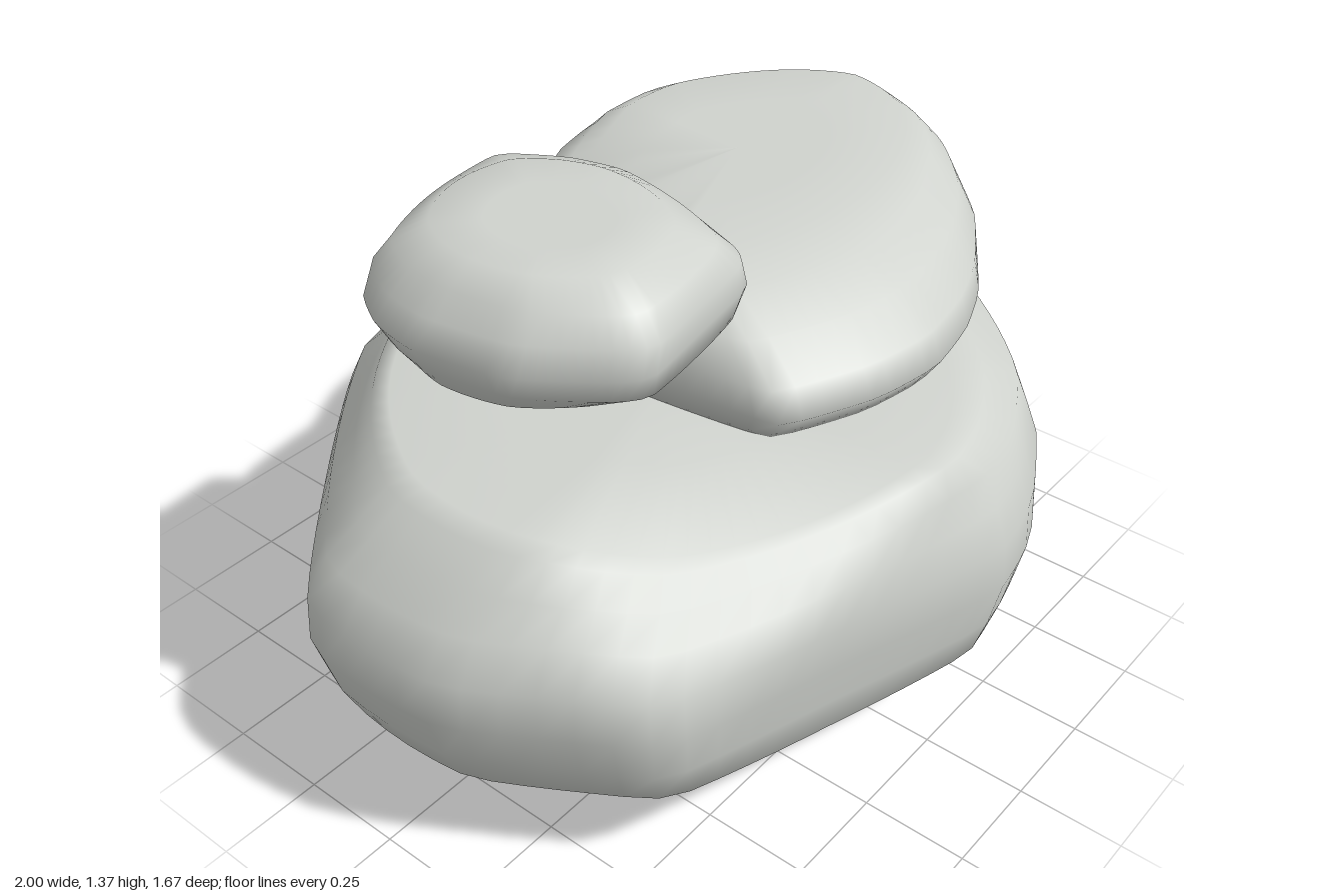
import * as THREE from 'three';

const stone = new THREE.MeshStandardMaterial({ color: 0xd0d3ce });
stone.name = 'grey stone';

const SEGMENTS = 72;

// Plan outline as evenly spaced points, normalised to a -1..1 box
function planOutline(points) {
  const curve = new THREE.CatmullRomCurve3(
    points.map(([x, z]) => new THREE.Vector3(x, 0, z)), true, 'catmullrom', 0.2);
  const ring = curve.getSpacedPoints(SEGMENTS).slice(0, SEGMENTS);
  const box = new THREE.Box3().setFromPoints(ring);
  const c = box.getCenter(new THREE.Vector3());
  const s = box.getSize(new THREE.Vector3()).multiplyScalar(0.5);
  return ring.map((p) => [(p.x - c.x) / s.x, (p.z - c.z) / s.z]);
}

// Level: [y, xMin, xMax, zMin, zMax]; shrink one towards its middle
function shrink([y, x0, x1, z0, z1], f, dy = 0) {
  const cx = (x0 + x1) / 2, cz = (z0 + z1) / 2;
  return [y + dy, cx + (x0 - cx) * f, cx + (x1 - cx) * f, cz + (z0 - cz) * f, cz + (z1 - cz) * f];
}

// Stack the outline through the levels, rounder towards both ends,
// close the ends and flatten against planes
function boulder(name, outline, levels, cuts = []) {
  const plan = planOutline(outline);
  const first = levels[0], last = levels[levels.length - 1];
  const rings = [
    shrink(first, 0, -0.02), shrink(first, 0.55, -0.015),
    ...levels,
    shrink(last, 0.55), shrink(last, 0),
  ];
  const positions = [], index = [];
  const p = new THREE.Vector3();
  rings.forEach(([y, x0, x1, z0, z1], r) => {
    const t = (2 * (y - first[0])) / (last[0] - first[0]) - 1;
    const round = 0.7 * Math.min(1, t * t);
    plan.forEach(([u, v], i) => {
      const k = 1 + round * (1 / Math.hypot(u, v) - 1);
      p.set((x0 + x1 + u * k * (x1 - x0)) / 2, y, (z0 + z1 + v * k * (z1 - z0)) / 2);
      for (const [nx, ny, nz, d] of cuts) {
        const n = new THREE.Vector3(nx, ny, nz).normalize();
        const over = n.dot(p) - d;
        if (over > 0) p.addScaledVector(n, -over);
      }
      positions.push(p.x, p.y, p.z);
      if (r === rings.length - 1) return;
      const j = (i + 1) % SEGMENTS;
      const a = r * SEGMENTS + i, b = r * SEGMENTS + j;
      index.push(a, a + SEGMENTS, b, b, a + SEGMENTS, b + SEGMENTS);
    });
  });
  const geometry = new THREE.BufferGeometry();
  geometry.setAttribute('position', new THREE.Float32BufferAttribute(positions, 3));
  geometry.setIndex(index);
  geometry.computeVertexNormals();
  const mesh = new THREE.Mesh(geometry, stone);
  mesh.name = name;
  return mesh;
}

export function createModel() {
  const group = new THREE.Group();
  group.name = 'stackedBoulders';

  // Large boulder on the ground, bevelled on its front right shoulder
  group.add(boulder('baseBoulder', [
    [-1, 0], [-0.98, -0.21], [-0.66, -0.5], [-0.34, -0.78], [-0.18, -0.82], [-0.02, -0.84],
    [0.09, -0.84], [0.27, -0.77], [0.45, -0.67], [0.64, -0.48], [0.81, -0.22], [0.89, 0.15],
    [0.87, 0.3], [0.72, 0.47], [0.54, 0.66], [0.3, 0.79], [0.09, 0.83], [-0.32, 0.7],
    [-0.73, 0.57], [-0.85, 0.4], [-0.98, 0.18],
  ], [
    [0.025, -0.54, 0.52, -0.43, 0.46],
    [0.07, -0.64, 0.63, -0.54, 0.57],
    [0.13, -0.76, 0.71, -0.64, 0.67],
    [0.25, -0.93, 0.81, -0.77, 0.79],
    [0.34, -0.97, 0.85, -0.81, 0.815],
    [0.45, -1, 0.89, -0.84, 0.835],
    [0.57, -1, 0.87, -0.82, 0.835],
    [0.65, -0.94, 0.845, -0.79, 0.8],
    [0.73, -0.88, 0.8, -0.7, 0.77],
    [0.79, -0.81, 0.65, -0.64, 0.73],
    [0.82, -0.77, 0.5, -0.56, 0.7],
  ], [[-0.377, 0.67, 0.636, 0.998]]));

  // Flat middle boulder: sheared face at back left, bevelled top at back right
  group.add(boulder('middleBoulder', [
    [-0.26, 0], [-0.25, -0.16], [-0.21, -0.28], [-0.15, -0.4], [-0.06, -0.51], [0.15, -0.6],
    [0.37, -0.67], [0.55, -0.7], [0.62, -0.68], [0.75, -0.48], [0.9, -0.27], [1, -0.11],
    [0.95, 0.02], [0.88, 0.17], [0.7, 0.35], [0.5, 0.48], [0.35, 0.54], [0.18, 0.57],
    [0, 0.54], [-0.21, 0.44], [-0.24, 0.25],
  ], [
    [0.69, 0.25, 0.8, -0.42, -0.12],
    [0.72, 0.08, 0.88, -0.55, 0.06],
    [0.77, -0.12, 0.96, -0.62, 0.32],
    [0.82, -0.24, 1, -0.66, 0.53],
    [0.89, -0.265, 1, -0.7, 0.575],
    [0.96, -0.265, 0.995, -0.665, 0.55],
    [1.03, -0.25, 0.97, -0.61, 0.46],
    [1.08, -0.22, 0.935, -0.55, 0.34],
    [1.11, -0.14, 0.9, -0.49, 0.23],
  ], [[0.85, 0.15, -0.53, 1.02], [-0.276, 0.92, -0.276, 1.043]]));

  // Small boulder above on the right
  group.add(boulder('topBoulder', [
    [-0.82, 0.02], [-0.8, -0.1], [-0.73, -0.21], [-0.49, -0.27], [-0.25, -0.32], [-0.2, -0.29],
    [-0.12, -0.16], [-0.09, -0.02], [-0.14, 0.15], [-0.2, 0.32], [-0.25, 0.37], [-0.42, 0.4],
    [-0.6, 0.43], [-0.66, 0.39], [-0.78, 0.22],
  ], [
    [1.075, -0.72, -0.26, -0.18, 0.29],
    [1.1, -0.76, -0.17, -0.22, 0.34],
    [1.15, -0.79, -0.12, -0.29, 0.42],
    [1.21, -0.82, -0.09, -0.31, 0.435],
    [1.27, -0.79, -0.12, -0.305, 0.435],
    [1.32, -0.75, -0.18, -0.265, 0.4],
    [1.37, -0.7, -0.27, -0.17, 0.33],
  ]));

  return group;
}
